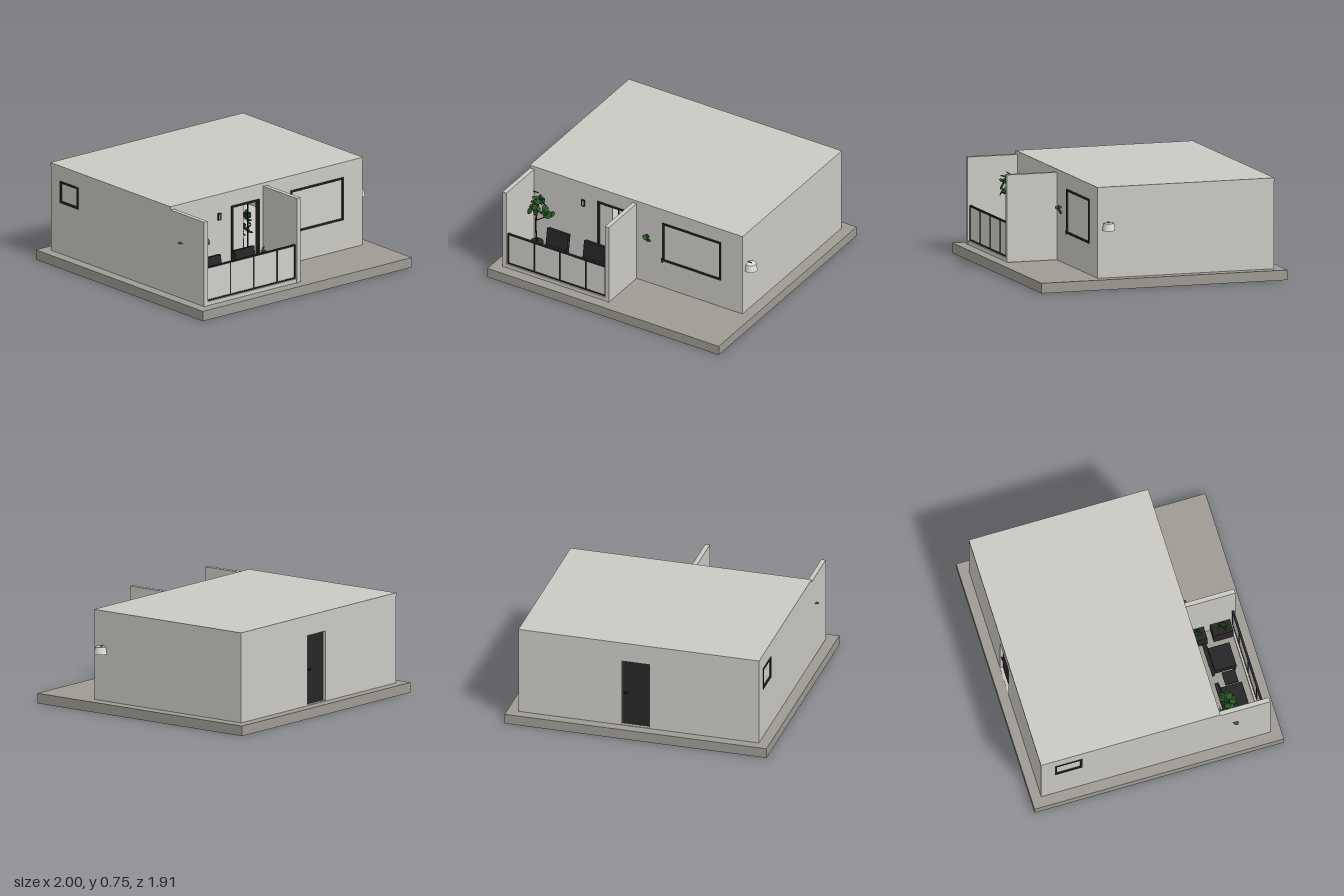
import * as THREE from 'three';

const mat = (name, color) => {
  const m = new THREE.MeshStandardMaterial({ color });
  m.name = name;
  return m;
};

export function createModel() {
  const root = new THREE.Group();
  root.name = 'house';
  const wall = mat('plaster', 0xcbc9c4);
  const stone = mat('paving', 0x9d9b93);
  const dark = mat('charcoal', 0x262626);
  const glass = mat('paleGlass', 0xcfcec9);
  const leafMat = mat('leafGreen', 0x2d5a28);
  const deepLeaf = mat('deepLeafGreen', 0x1f3d1c);
  const shade = mat('lampShade', 0xe0e0de);

  const add = (name, geo, m, parent = root) => {
    const mesh = new THREE.Mesh(geo, m);
    mesh.name = name;
    parent.add(mesh);
    return mesh;
  };
  // Box given by its lower and upper corners
  const box = (name, m, x0, x1, y0, y1, z0, z1, parent = root) => {
    const b = add(name, new THREE.BoxGeometry(x1 - x0, y1 - y0, z1 - z0), m, parent);
    b.position.set((x0 + x1) / 2, (y0 + y1) / 2, (z0 + z1) / 2);
    return b;
  };
  const rect = (s, [x0, x1, y0, y1]) => {
    s.moveTo(x0, y0); s.lineTo(x1, y0); s.lineTo(x1, y1); s.lineTo(x0, y1); s.closePath();
    return s;
  };
  // Flat panel with rectangular openings
  const panel = (name, m, outline, holes, depth, z, parent = root) => {
    const s = rect(new THREE.Shape(), outline);
    holes.forEach(h => s.holes.push(rect(new THREE.Path(), h)));
    const p = add(name, new THREE.ExtrudeGeometry(s, { depth, bevelEnabled: false }), m, parent);
    p.position.z = z;
    return p;
  };
  const frame = (name, [x0, x1, y0, y1], t, depth, z, parent = root) =>
    panel(name, dark, [x0, x1, y0, y1], [[x0 + t, x1 - t, y0 + t, y1 - t]], depth, z, parent);

  // Plinth, floor and roof
  box('plinth', stone, -1, 1, 0, 0.075, -0.955, 0.955);
  box('houseFloor', wall, -0.885, 0.88, 0.075, 0.082, -0.845, 0.455);
  box('porchFloor', stone, -0.92, 0, 0.075, 0.082, 0.49, 0.87);
  box('roof', wall, -0.922, 0.917, 0.725, 0.75, -0.882, 0.492);

  // House walls
  const win = [0.225, 0.73, 0.305, 0.635];
  const patio = [-0.34, -0.07, 0.082, 0.635];
  const back = [-0.085, 0.13, 0.08, 0.6];
  const side = [-0.775, -0.565, 0.465, 0.635];
  panel('frontWall', wall, [-0.92, 0.915, 0.075, 0.725], [win, patio], 0.035, 0.455);
  panel('backWall', wall, [-0.92, 0.915, 0.075, 0.725], [back], 0.035, -0.88);
  box('leftWall', wall, 0.88, 0.915, 0.075, 0.725, -0.845, 0.455);
  const rightSide = new THREE.Group();
  rightSide.name = 'rightSide';
  rightSide.rotation.y = -Math.PI / 2;
  rightSide.position.x = -0.885;
  root.add(rightSide);
  panel('rightWall', wall, [-0.845, 0.455, 0.075, 0.725], [side], 0.035, 0, rightSide);
  frame('sideWindowFrame', side, 0.016, 0.03, 0.009, rightSide);
  panel('sideWindowGlass', glass, side, [], 0.006, 0.022, rightSide);

  // Front window, patio door and back door
  frame('windowFrame', win, 0.015, 0.035, 0.462);
  panel('windowGlass', glass, win, [], 0.006, 0.482);
  frame('patioDoorFrame', patio, 0.015, 0.035, 0.462);
  box('slidingPane', glass, -0.33, -0.215, 0.09, 0.625, 0.472, 0.478);
  box('slidingStile', dark, -0.169, -0.162, 0.09, 0.625, 0.465, 0.475);
  box('backDoor', dark, back[0], back[1], 0.08, 0.6, -0.858, -0.845);
  const handle = add('doorHandle', new THREE.CylinderGeometry(0.006, 0.006, 0.03, 8), dark);
  handle.position.set(0.1, 0.34, -0.872);
  handle.rotation.z = Math.PI / 2;

  // Porch side walls and curb
  box('porchOuterWall', wall, -0.92, -0.885, 0.075, 0.725, 0.49, 0.875);
  box('porchInnerWall', wall, -0.035, 0, 0.075, 0.725, 0.49, 0.875);
  box('porchCurb', wall, -0.885, -0.035, 0.075, 0.105, 0.83, 0.872);

  // Glazed railing
  box('railTop', dark, -0.885, -0.035, 0.355, 0.366, 0.845, 0.862);
  box('railBottom', dark, -0.885, -0.035, 0.105, 0.115, 0.845, 0.862);
  box('railGlass', glass, -0.88, -0.035, 0.115, 0.355, 0.85, 0.857);
  for (const x of [-0.88, -0.655, -0.435, -0.21, -0.04])
    box('railPost', dark, x - 0.005, x + 0.005, 0.105, 0.36, 0.846, 0.861);

  // Armchairs, table and planters
  for (const x of [-0.618, -0.298]) {
    const chair = new THREE.Group();
    chair.name = 'armchair';
    chair.position.x = x;
    root.add(chair);
    box('seat', dark, -0.092, 0.092, 0.14, 0.2, 0.585, 0.775, chair);
    const rest = box('backrest', dark, -0.092, 0.092, 0.17, 0.325, 0.575, 0.605, chair);
    rest.rotation.x = -0.15;
    for (const lx of [-0.08, 0.08]) for (const lz of [0.6, 0.76])
      box('leg', dark, lx - 0.007, lx + 0.007, 0.082, 0.14, lz - 0.007, lz + 0.007, chair);
  }
  box('tableTop', dark, -0.51, -0.41, 0.165, 0.18, 0.655, 0.755);
  box('tableStem', dark, -0.475, -0.445, 0.082, 0.165, 0.69, 0.72);
  box('planter', dark, -0.13, -0.035, 0.082, 0.2, 0.49, 0.63);
  box('planter', dark, -0.13, -0.035, 0.082, 0.2, 0.68, 0.83);

  // Seeded scatter for foliage
  let seed = 7;
  const rnd = () => (seed = (seed * 16807) % 2147483647) / 2147483647;
  const leafGeo = new THREE.SphereGeometry(1, 9, 6);
  const cluster = (name, m, n, [x, y, z], [rx, ry, rz], size) => {
    const g = new THREE.Group();
    g.name = name;
    root.add(g);
    for (let i = 0; i < n; i++) {
      const leaf = add('leaf', leafGeo, m, g);
      leaf.position.set(x + (rnd() * 2 - 1) * rx, y + (rnd() * 2 - 1) * ry, z + (rnd() * 2 - 1) * rz);
      leaf.rotation.set((rnd() - 0.5) * 1.8, rnd() * 6, (rnd() - 0.5) * 1.8);
      leaf.scale.set(size, size * 0.15, size * 0.75);
    }
  };
  const stem = (name, pts, r) => add(name, new THREE.TubeGeometry(
    new THREE.CatmullRomCurve3(pts.map(p => new THREE.Vector3(...p))), 10, r, 6), dark);

  // Porch tree
  add('treePot', new THREE.CylinderGeometry(0.05, 0.04, 0.1, 16), dark).position.set(-0.8, 0.132, 0.59);
  stem('treeTrunk', [[-0.8, 0.17, 0.59], [-0.81, 0.33, 0.59], [-0.8, 0.43, 0.59], [-0.77, 0.58, 0.6]], 0.006);
  stem('treeBranch', [[-0.81, 0.36, 0.59], [-0.75, 0.4, 0.59], [-0.69, 0.45, 0.59]], 0.004);
  cluster('treeCrown', leafMat, 10, [-0.775, 0.565, 0.6], [0.04, 0.04, 0.05], 0.03);
  cluster('treeMiddle', leafMat, 12, [-0.82, 0.47, 0.59], [0.045, 0.055, 0.07], 0.032);
  cluster('treeSide', leafMat, 8, [-0.71, 0.445, 0.59], [0.04, 0.03, 0.03], 0.032);
  cluster('strayLeaf', leafMat, 1, [-0.92, 0.5, 0.61], [0, 0, 0], 0.027);

  // Planter shrubs and indoor plant
  for (const z of [0.56, 0.755]) cluster('shrub', deepLeaf, 10, [-0.08, 0.24, z], [0.025, 0.04, 0.03], 0.018);
  add('indoorPot', new THREE.CylinderGeometry(0.05, 0.04, 0.12, 16), dark).position.set(-0.13, 0.142, 0.38);
  stem('indoorStem', [[-0.13, 0.2, 0.38], [-0.14, 0.4, 0.38], [-0.16, 0.6, 0.38]], 0.005);
  cluster('indoorPlant', deepLeaf, 38, [-0.135, 0.44, 0.38], [0.055, 0.09, 0.05], 0.024);

  // Leaves on the front wall beside the window
  cluster('wallLeaves', leafMat, 4, [0.085, 0.47, 0.512], [0.025, 0.02, 0.01], 0.024);
  cluster('hangingLeaves', dark, 3, [0.222, 0.3, 0.495], [0.006, 0.025, 0.003], 0.013);

  // Porch wall light
  frame('porchLightFrame', [-0.472, -0.446, 0.553, 0.605], 0.005, 0.015, 0.49);
  box('porchLightShade', shade, -0.467, -0.451, 0.558, 0.6, 0.49, 0.5);

  // Lamp on the left wall
  box('lampArm', dark, 0.91, 0.945, 0.486, 0.491, 0.407, 0.413);
  add('lampShade', new THREE.CylinderGeometry(0.039, 0.048, 0.054, 24), shade).position.set(0.94, 0.457, 0.413);

  return root;
}
